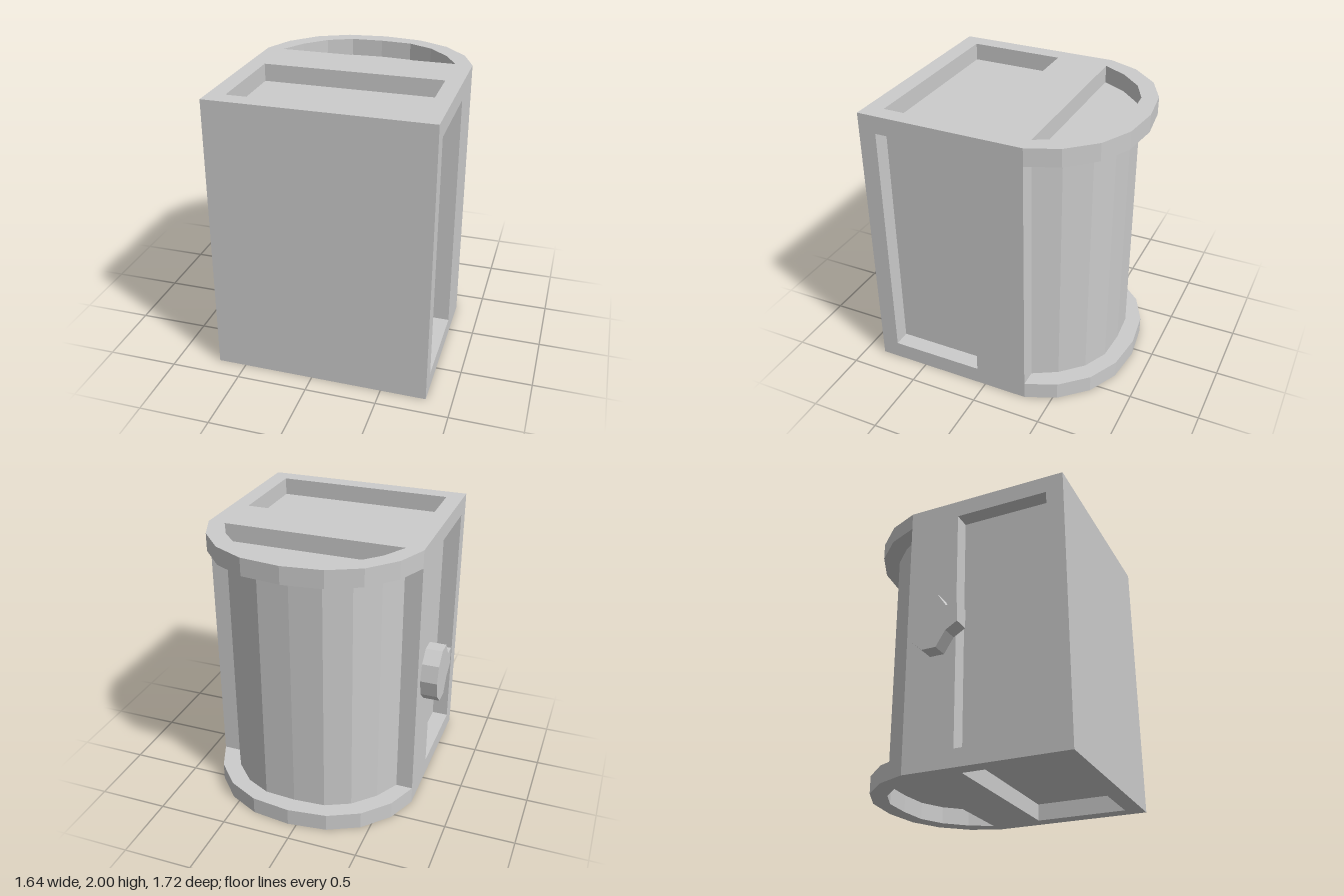
import * as THREE from 'three';

const CX = 0.06;      // body centre line
const T = 0.125;      // frame thickness and recess depth
const H = 2;
const FRONT = 0.86, SPRING = -0.315;   // front face, start of the rounded back

const material = new THREE.MeshStandardMaterial({ color: 0xcccccc, flatShading: true });
const points = (list) => list.map(([a, b]) => new THREE.Vector2(a, b));

// Half arch as [x, z], from the right spring point to the crown
const outerArch = [[0.76, SPRING], [0.67, -0.53], [0.5, -0.715], [0.28, -0.825], [0, -0.86]];
const innerArch = [[0.64, SPRING], [0.545, -0.485], [0.4, -0.635], [0.225, -0.72], [0, -0.735]];

// Mirrors a half outline [x, z] that ends or starts on the centre line
function mirrored(half) {
  const other = half.filter(([x]) => x > 0).reverse().map(([x, z]) => [-x, z]);
  return points([...half, ...other].map(([x, z]) => [x + CX, -z]));
}

// Extrudes a plan shape upwards from y0
function slab(name, outline, holes, y0, height) {
  const shape = new THREE.Shape(outline);
  shape.holes = holes.map((h) => new THREE.Path(h));
  const geometry = new THREE.ExtrudeGeometry(shape, { depth: height, bevelEnabled: false });
  geometry.rotateX(-Math.PI / 2).translate(0, y0, 0);
  const mesh = new THREE.Mesh(geometry, material);
  mesh.name = name;
  return mesh;
}

export function createModel() {
  const group = new THREE.Group();
  group.name = 'cabinet';

  // Top and bottom frames, each with a rectangular and an arched recess
  const frameOutline = mirrored([[0.76, FRONT], ...outerArch]);
  const frontHole = mirrored([[0.64, 0.735], [0.64, 0.06]]);
  const archHole = mirrored(innerArch);
  group.add(slab('bottomFrame', frameOutline, [frontHole, archHole], 0, T));
  group.add(slab('topFrame', frameOutline, [frontHole, archHole], H - T, T));

  // Body with recessed side panels and a narrower rounded back
  const bodyOutline = mirrored([
    [0.76, FRONT], [0.76, 0.735], [0.64, 0.735], [0.64, 0.06],
    [0.76, 0.06], [0.76, SPRING], ...innerArch,
  ]);
  group.add(slab('body', bodyOutline, [], T, H - 2 * T));

  // Side knob with a small tab, drawn in [z, y]
  const knobShape = new THREE.Shape(points([
    [-0.025, 1.2], [-0.13, 1.2], [-0.215, 1.12], [-0.245, 1.0], [-0.215, 0.88],
    [-0.13, 0.8], [-0.025, 0.8], [0.045, 0.91], [0.13, 0.96], [0.13, 1.095], [0.045, 1.095],
  ]));
  const knobGeometry = new THREE.ExtrudeGeometry(knobShape, { depth: 0.12, bevelEnabled: false });
  knobGeometry.rotateY(-Math.PI / 2).translate(-0.7, 0, 0);
  const knob = new THREE.Mesh(knobGeometry, material);
  knob.name = 'knob';
  group.add(knob);

  return group;
}
